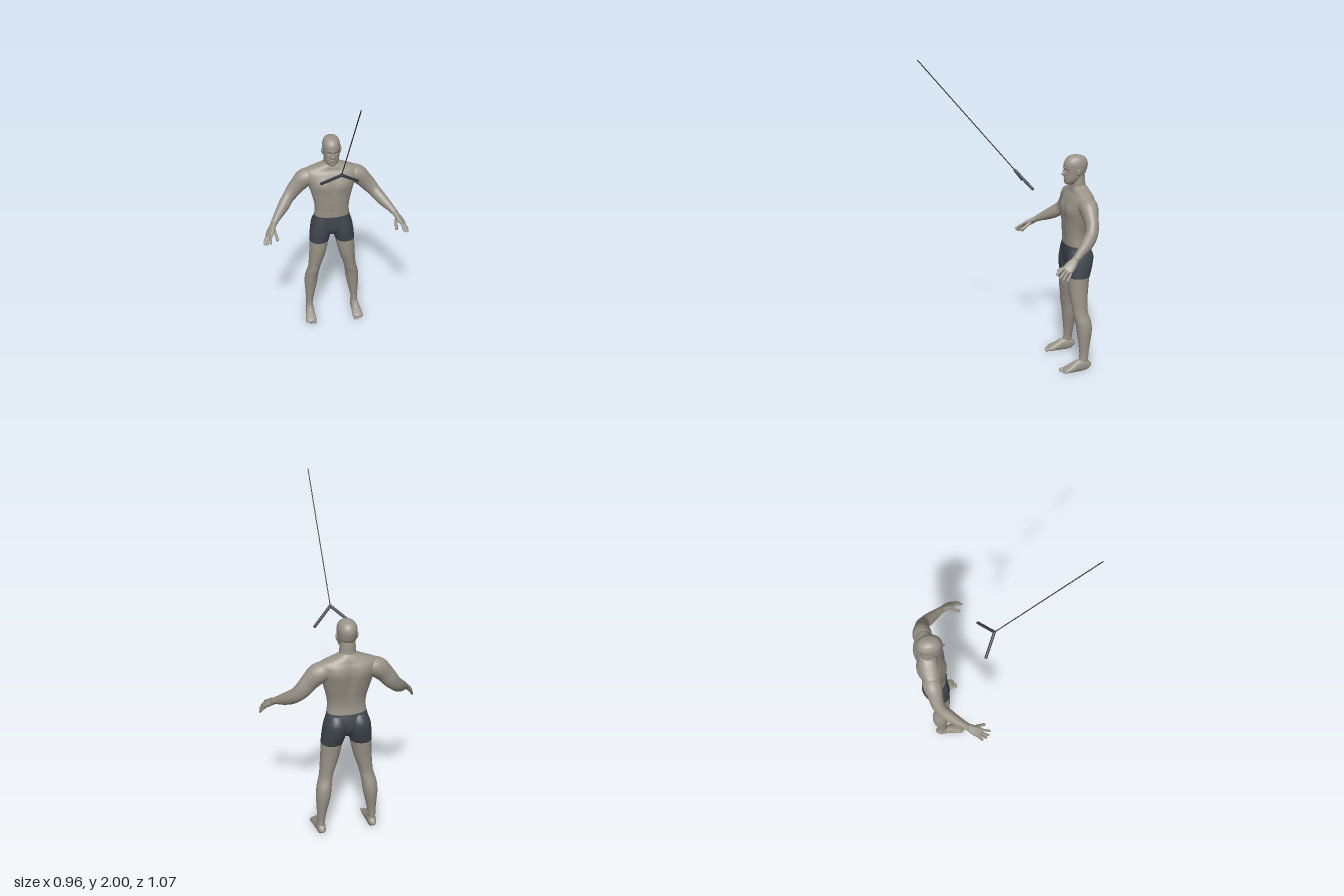
import * as THREE from 'three';

const V = (x, y, z) => new THREE.Vector3(x, y, z);
const mat = (name, color) => new THREE.MeshStandardMaterial({ name, color });

// Smoothly interpolate rows of numbers (Catmull-Rom per column)
function smoothRows(rows, steps) {
  const out = [];
  const at = (i) => rows[Math.min(Math.max(i, 0), rows.length - 1)];
  for (let i = 0; i < rows.length - 1; i++) {
    for (let k = 0; k < steps; k++) {
      const t = k / steps;
      out.push(rows[i].map((b, c) => {
        const a = at(i - 1)[c], d = at(i + 1)[c], e = at(i + 2)[c];
        return b + 0.5 * t * (d - a + t * (2 * a - 5 * b + 4 * d - e + t * (3 * (b - d) + e - a)));
      }));
    }
  }
  out.push(rows[rows.length - 1]);
  return out;
}

// Closed skin over rings {c, u, v}, with u x v pointing along the travel direction
function skinRings(rings, sides, power, deform) {
  const pos = [], idx = [], n = rings.length;
  const round = (x) => Math.sign(x) * Math.pow(Math.abs(x), 2 / power);
  const put = (p) => { if (deform) deform(p); pos.push(p.x, p.y, p.z); };
  for (const { c, u, v } of rings) {
    for (let j = 0; j < sides; j++) {
      const a = (j / sides) * Math.PI * 2;
      put(c.clone().addScaledVector(u, round(Math.cos(a))).addScaledVector(v, round(Math.sin(a))));
    }
  }
  put(rings[0].c.clone());
  put(rings[n - 1].c.clone());
  for (let j = 0; j < sides; j++) {
    const k = (j + 1) % sides, top = (n - 1) * sides;
    for (let i = 0; i < n - 1; i++) {
      const a = i * sides + j, b = i * sides + k;
      idx.push(a, b, a + sides, b, b + sides, a + sides);
    }
    idx.push(n * sides, k, j, n * sides + 1, top + j, top + k);
  }
  const g = new THREE.BufferGeometry();
  g.setAttribute('position', new THREE.Float32BufferAttribute(pos, 3));
  g.setIndex(idx);
  g.computeVertexNormals();
  return g;
}

// Horizontal slices, rising: [y, x from, x to, z front, z back]
function slices(rows, { power = 2, deform, sides = 40, steps = 5 } = {}) {
  return skinRings(smoothRows(rows, steps).map(([y, x0, x1, zf, zb]) => ({
    c: V((x0 + x1) / 2, y, (zf + zb) / 2), u: V((x1 - x0) / 2, 0, 0), v: V(0, 0, (zb - zf) / 2),
  })), sides, power, deform);
}

// Limb along a path: [x, y, z, half width, half height], s mirrors it, roll turns the section
function limb(rows, s, { roll = 0, power = 2, deform, sides = 20, steps = 5 } = {}) {
  const list = smoothRows(rows, steps);
  const pts = list.map((r) => V(r[0] * s, r[1], r[2]));
  return skinRings(list.map((r, i) => {
    const d = pts[Math.min(i + 1, pts.length - 1)].clone().sub(pts[Math.max(i - 1, 0)]).normalize();
    const u = V(0, 1, 0).cross(d).normalize().applyAxisAngle(d, -roll * s);
    const v = d.clone().cross(u);
    return { c: pts[i], u: u.multiplyScalar(r[3]), v: v.multiplyScalar(r[4]) };
  }), sides, power, deform);
}

// Soft mirrored bumps: [x, y, z, radius x, y, z, push x, y, z]
const bumps = (list) => (p) => {
  const q = p.clone(), s = Math.sign(q.x) || 0;
  for (const [x, y, z, rx, ry, rz, dx, dy, dz] of list) {
    const w = Math.exp(-(((Math.abs(q.x) - x) / rx) ** 2) - ((q.y - y) / ry) ** 2 - ((q.z - z) / rz) ** 2);
    p.x += dx * w * s; p.y += dy * w; p.z += dz * w;
  }
};

// Finger or toe with a rounded tip
function digit(points, r, s) {
  const rows = points.map((p, i) => [...p, r * (1 - 0.08 * i), r * (1 - 0.08 * i)]);
  const a = points[points.length - 2], b = points[points.length - 1];
  rows.push([...b.map((x, i) => x + (x - a[i]) * 0.13), r * 0.3, r * 0.3]);
  return limb(rows, s, { sides: 10, steps: 3 });
}

function rod(a, b, r) {
  const d = b.clone().sub(a);
  const g = new THREE.CylinderGeometry(r, r, d.length(), 14);
  g.applyQuaternion(new THREE.Quaternion().setFromUnitVectors(V(0, 1, 0), d.normalize()));
  const m = a.clone().add(b).multiplyScalar(0.5);
  return g.translate(m.x, m.y, m.z);
}

export function createModel() {
  const model = new THREE.Group();
  model.name = 'athleteWithCableHandle';
  const skin = mat('skin', 0x9a9488), cloth = mat('shorts', 0x40464e);
  const grip = mat('handle', 0x3c4047), wire = mat('cable', 0x34374a);
  const add = (name, geometry, material = skin) => {
    const m = new THREE.Mesh(geometry, material);
    m.name = name;
    model.add(m);
    return m;
  };
  const even = (rows) => rows.map(([y, w, f, b]) => [y, -w, w, f, b]);

  // Torso with chest, shoulder blades and spine groove
  add('torso', slices(even([
    [0.82, 0.117, -0.362, -0.5], [0.87, 0.113, -0.36, -0.495], [0.92, 0.118, -0.357, -0.5],
    [0.98, 0.133, -0.355, -0.513], [1.04, 0.15, -0.354, -0.525], [1.09, 0.17, -0.364, -0.53],
    [1.13, 0.178, -0.38, -0.525], [1.155, 0.16, -0.395, -0.515], [1.172, 0.115, -0.4, -0.508],
    [1.188, 0.07, -0.405, -0.5], [1.205, 0.04, -0.412, -0.488]]), {
    power: 2.25, sides: 64, steps: 6, deform: bumps([
      [0.065, 1.06, -0.36, 0.05, 0.04, 0.04, 0, 0, 0.008], [0, 1.05, -0.35, 0.012, 0.06, 0.04, 0, 0, -0.006],
      [0, 1.02, -0.53, 0.022, 0.12, 0.04, 0, 0, 0.014], [0.08, 1.1, -0.53, 0.04, 0.05, 0.03, 0, 0, -0.007],
      [0, 0.9, -0.36, 0.009, 0.07, 0.03, 0, 0, -0.004], [0, 0.87, -0.36, 0.007, 0.007, 0.03, 0, 0, -0.006],
    ]),
  }));
  add('neck', slices(even([
    [1.14, 0.06, -0.4, -0.5], [1.18, 0.052, -0.402, -0.495], [1.21, 0.048, -0.402, -0.49],
    [1.24, 0.046, -0.4, -0.488], [1.27, 0.043, -0.4, -0.485]])));

  // Head with brow, nose, lips and eye sockets
  add('head', slices(even([
    [1.205, 0.012, -0.375, -0.4], [1.213, 0.029, -0.362, -0.425], [1.235, 0.043, -0.357, -0.45],
    [1.26, 0.05, -0.357, -0.475], [1.285, 0.054, -0.356, -0.492], [1.31, 0.056, -0.353, -0.5],
    [1.335, 0.057, -0.353, -0.503], [1.36, 0.051, -0.363, -0.495], [1.378, 0.038, -0.382, -0.478],
    [1.387, 0.02, -0.408, -0.452], [1.39, 0.003, -0.425, -0.435]]), {
    power: 2.1, sides: 72, steps: 8, deform: bumps([
      [0, 1.272, -0.355, 0.009, 0.01, 0.03, 0, 0, 0.022], [0, 1.29, -0.355, 0.007, 0.014, 0.03, 0, 0, 0.01],
      [0.02, 1.296, -0.36, 0.011, 0.008, 0.02, 0, 0, -0.008], [0.018, 1.311, -0.36, 0.016, 0.007, 0.02, 0, 0, 0.004],
      [0, 1.25, -0.357, 0.014, 0.004, 0.02, 0, 0, 0.005], [0, 1.239, -0.357, 0.013, 0.004, 0.02, 0, 0, 0.005],
      [0, 1.216, -0.362, 0.016, 0.009, 0.02, 0, 0, 0.004],
    ]),
  }));

  // Shorts, upper part
  add('shortsHips', slices(even([
    [0.672, 0.02, -0.4, -0.48], [0.69, 0.05, -0.375, -0.495], [0.71, 0.09, -0.364, -0.505],
    [0.74, 0.128, -0.36, -0.512], [0.78, 0.127, -0.36, -0.512], [0.822, 0.1175, -0.3615, -0.501]]),
  { power: 2.25, sides: 56 }), cloth);

  for (const s of [1, -1]) {
    const side = s > 0 ? 'left' : 'right';
    const mirror = (rows) => rows.map(([y, a, b, f, k]) => [y, Math.min(a * s, b * s), Math.max(a * s, b * s), f, k]);

    const ear = add(side + 'Ear', new THREE.SphereGeometry(1, 16, 12));
    ear.scale.set(0.007, 0.022, 0.013);
    ear.position.set(0.058 * s, 1.288, -0.427);
    ear.rotation.set(-0.15, -0.3 * s, -0.15 * s);

    // Legs
    add(side + 'ShortsLeg', slices(mirror([
      [0.625, 0.022, 0.153, -0.365, -0.503], [0.66, 0.012, 0.15, -0.361, -0.514], [0.7, 0.004, 0.146, -0.358, -0.525],
      [0.75, 0.002, 0.138, -0.361, -0.531], [0.785, 0.008, 0.126, -0.366, -0.52], [0.815, 0.02, 0.112, -0.372, -0.498]]),
    { power: 2.1 }), cloth);
    add(side + 'Leg', slices(mirror([
      [0.02, 0.138, 0.184, -0.425, -0.49], [0.07, 0.138, 0.183, -0.425, -0.487], [0.12, 0.132, 0.183, -0.428, -0.488],
      [0.2, 0.116, 0.187, -0.42, -0.5], [0.27, 0.101, 0.19, -0.411, -0.509], [0.33, 0.094, 0.184, -0.402, -0.505],
      [0.38, 0.086, 0.17, -0.391, -0.49], [0.42, 0.077, 0.163, -0.386, -0.485], [0.5, 0.051, 0.157, -0.373, -0.489],
      [0.56, 0.036, 0.154, -0.367, -0.495], [0.628, 0.023, 0.152, -0.366, -0.502]])));

    // Feet and toes
    add(side + 'Foot', limb([
      [0.16, 0.022, -0.497, 0.01, 0.012], [0.16, 0.03, -0.488, 0.022, 0.028], [0.16, 0.038, -0.46, 0.027, 0.04],
      [0.161, 0.036, -0.425, 0.028, 0.04], [0.163, 0.028, -0.39, 0.032, 0.031], [0.165, 0.02, -0.355, 0.036, 0.021],
      [0.165, 0.014, -0.33, 0.034, 0.014], [0.165, 0.011, -0.32, 0.026, 0.008]], s,
    { power: 2.3, deform: (p) => { p.y = Math.max(p.y, 0.003); } }));
    [-0.3, -0.299, -0.305, -0.314, -0.325].forEach((z, i) => {
      const x = 0.14 + i * 0.0135 + (i ? 0.002 : 0), r = i ? 0.0065 : 0.0095;
      add(side + 'Toe' + (i + 1), digit([[x, 0.015, -0.345], [x, 0.013, z - 0.014], [x, r + 0.002, z]], r, s));
    });

    // Arm from shoulder to wrist
    add(side + 'Arm', limb([
      [0.1, 1.115, -0.46, 0.04, 0.035], [0.14, 1.105, -0.458, 0.057, 0.054], [0.178, 1.085, -0.456, 0.057, 0.061],
      [0.218, 1.045, -0.453, 0.046, 0.054], [0.255, 1.0, -0.45, 0.041, 0.049], [0.288, 0.962, -0.435, 0.037, 0.043],
      [0.318, 0.93, -0.403, 0.037, 0.041], [0.352, 0.9, -0.362, 0.031, 0.034], [0.382, 0.876, -0.322, 0.024, 0.024],
      [0.402, 0.857, -0.294, 0.022, 0.018]], s, { sides: 28 }));

    // Hand
    add(side + 'Palm', limb([
      [0.39, 0.868, -0.31, 0.02, 0.016], [0.405, 0.853, -0.288, 0.024, 0.017], [0.422, 0.834, -0.262, 0.032, 0.016],
      [0.435, 0.818, -0.24, 0.033, 0.013], [0.441, 0.81, -0.229, 0.027, 0.009]], s, { roll: 0.5, power: 2.4 }));
    const fingers = {
      Thumb: [[0.408, 0.846, -0.278], [0.396, 0.822, -0.24], [0.389, 0.797, -0.197]],
      IndexFinger: [[0.422, 0.832, -0.235], [0.43, 0.814, -0.2], [0.435, 0.792, -0.171]],
      MiddleFinger: [[0.432, 0.822, -0.238], [0.447, 0.8, -0.208], [0.455, 0.776, -0.184]],
      RingFinger: [[0.441, 0.812, -0.246], [0.457, 0.79, -0.22], [0.466, 0.766, -0.2]],
      LittleFinger: [[0.447, 0.803, -0.256], [0.464, 0.779, -0.238], [0.472, 0.758, -0.224]],
    };
    for (const [name, pts] of Object.entries(fingers)) add(side + name, digit(pts, name === 'Thumb' ? 0.011 : 0.0088, s));

    // Angled half of the pull handle
    add(side + 'HandleBar', rod(V(0, 1.315, -0.042), V(0.115 * s, 1.223, -0.12), 0.009), grip);
  }

  // Handle joint and cable
  add('handleJoint', new THREE.SphereGeometry(0.0095, 14, 10).translate(0, 1.315, -0.042), grip);
  add('cable', rod(V(0, 1.315, -0.042), V(0, 1.998, 0.532), 0.003), wire);
  return model;
}
